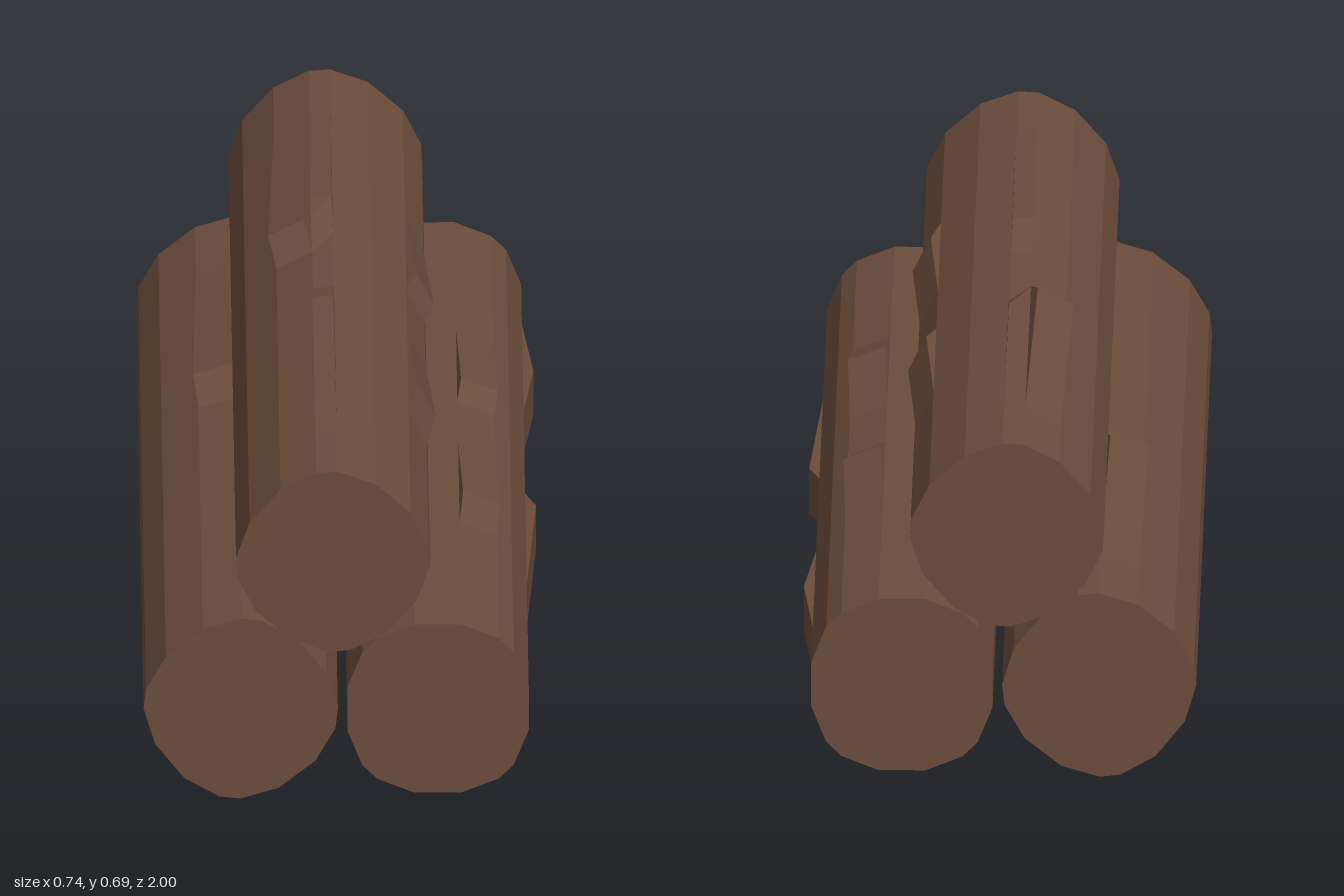
import * as THREE from 'three';

const bark = new THREE.MeshStandardMaterial({ color: 0x6b4c3b, flatShading: true });

// Sixteen-sided log outline: four corners repeated at quarter turns
const quarter = [[0.17, 0.044], [0.142, 0.114], [0.114, 0.142], [0.044, 0.17]];
const corners = [];
for (let k = 0; k < 4; k++) {
  for (const [x, y] of quarter) {
    corners.push(new THREE.Vector2(x, y).rotateAround(new THREE.Vector2(), k * Math.PI / 2));
  }
}

// Raised sliver of bark on one side of the log.
// sections: [z, height at first corner, height at second corner], z ascending
function splinterGeometry(edge, sections) {
  const a = corners[edge], b = corners[(edge + 1) % 16];
  const n = new THREE.Vector2(b.y - a.y, a.x - b.x).normalize();
  const at = (p, h, z) => [p.x + n.x * h, p.y + n.y * h, z];
  const rings = sections.map(([z, ha, hb]) =>
    [at(a, -0.008, z), at(a, ha, z), at(b, hb, z), at(b, -0.008, z)]);
  const pos = [];
  for (let s = 0; s < rings.length - 1; s++) {
    for (let i = 0; i < 4; i++) {
      const j = (i + 1) % 4, r = rings[s], q = rings[s + 1];
      pos.push(...r[i], ...r[j], ...q[j], ...r[i], ...q[j], ...q[i]);
    }
  }
  const g = new THREE.BufferGeometry();
  g.setAttribute('position', new THREE.Float32BufferAttribute(pos, 3));
  g.computeVertexNormals();
  return g;
}

const splinters = [
  // tall slivers on two neighbouring sides
  [2, [[-0.78, 0, 0], [-0.19, 0.033, 0.033], [-0.1, 0, 0]]],
  [1, [[-0.8, 0, 0], [-0.3, 0.033, 0.033], [-0.19, 0, 0.031], [-0.1, 0, 0]]],
  [1, [[0.08, 0, 0], [0.2, 0.029, 0.031], [0.8, 0, 0]]],
  // low slivers
  [14, [[-0.47, 0, 0], [-0.18, 0.02, 0.02], [-0.11, 0, 0]]],
  [14, [[0.1, 0, 0], [0.38, 0.02, 0.02], [0.49, 0, 0]]],
  [11, [[-0.8, 0, 0], [-0.57, 0.02, 0.02], [-0.37, 0, 0]]],
  [11, [[0.04, 0, 0], [0.1, 0.02, 0.02], [0.49, 0, 0]]],
];

const trunkGeometry = new THREE.ExtrudeGeometry(new THREE.Shape(corners), { depth: 2, bevelEnabled: false });
trunkGeometry.translate(0, 0, -1);
const splinterGeometries = splinters.map(([edge, sections]) => splinterGeometry(edge, sections));

function createLog(name, x, y, degrees) {
  const log = new THREE.Group();
  log.name = name;
  const add = (geometry, part) => {
    const mesh = new THREE.Mesh(geometry, bark);
    mesh.name = part;
    log.add(mesh);
  };
  add(trunkGeometry, 'trunk');
  splinterGeometries.forEach((g, i) => add(g, `barkSplinter${i + 1}`));
  log.position.set(x, y, 0);
  log.rotation.z = THREE.MathUtils.degToRad(degrees);
  return log;
}

export function createModel() {
  const model = new THREE.Group();
  model.name = 'logPile';
  // Same log three times, turned differently
  model.add(
    createLog('topLog', -0.017, 0.48, 48.6),
    createLog('rightLog', -0.19, 0.183, 38.5),
    createLog('leftLog', 0.18, 0.182, 90),
  );
  return model;
}
